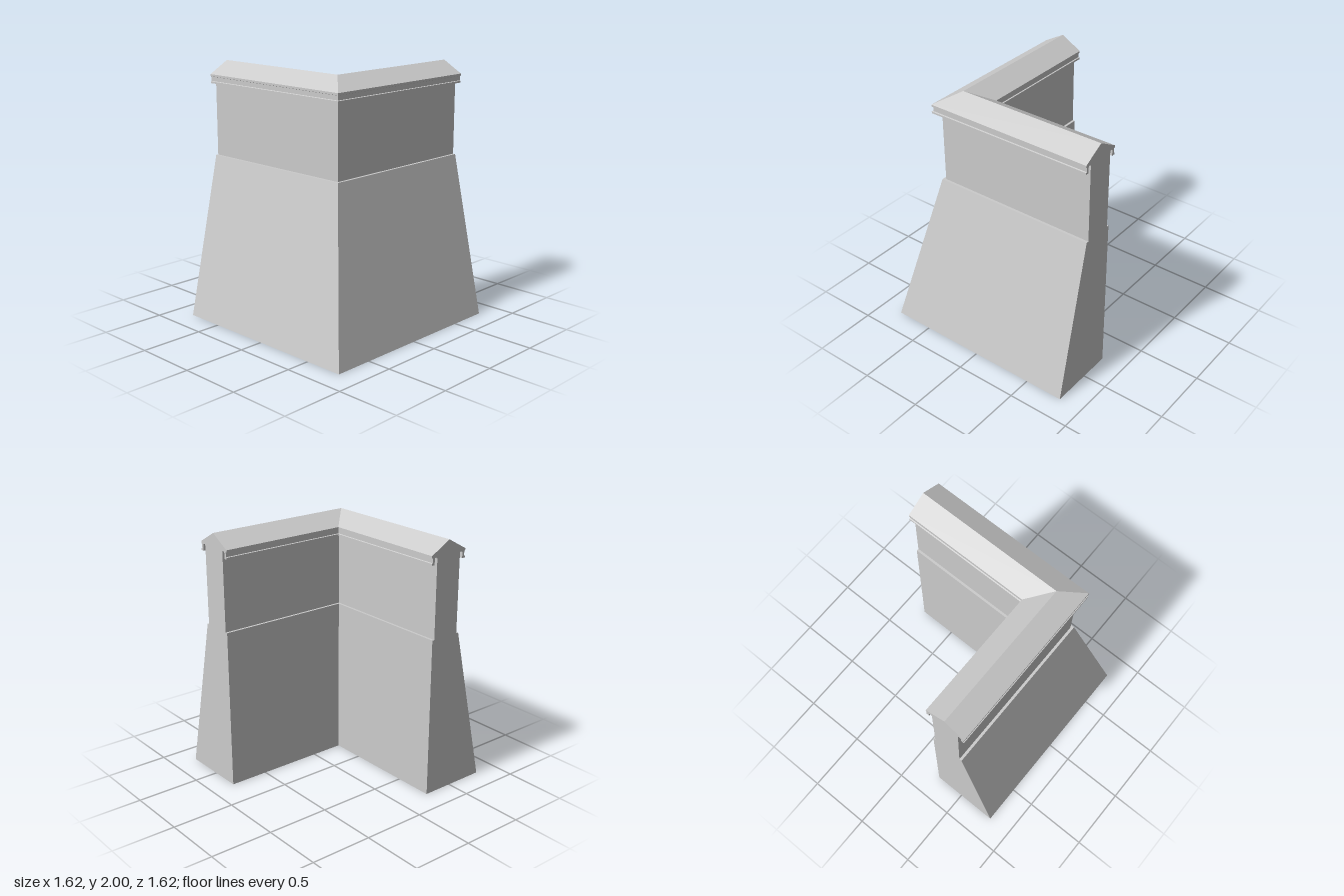
import * as THREE from 'three';

const END = 0.81;   // where both arms are cut off
const MID = 0.39;   // ridge line of the wall

// Sweeps a section (distance from the axes, height) along both arms with a mitred corner.
function sweepCorner(name, points) {
  const shape = new THREE.Shape(points.map(([d, y]) => new THREE.Vector2(d, y)));
  const geometry = new THREE.ExtrudeGeometry(shape, { depth: 2, steps: 2, bevelEnabled: false });
  const p = geometry.attributes.position;
  for (let i = 0; i < p.count; i++) {
    const d = p.getX(i), station = Math.round(p.getZ(i)); // 0 front arm end, 1 corner, 2 side arm end
    p.setXYZ(i, station === 0 ? END : -d, p.getY(i), station === 2 ? -END : d);
  }
  geometry.computeVertexNormals();
  const material = new THREE.MeshStandardMaterial({ color: 0xcccccc, flatShading: true });
  const mesh = new THREE.Mesh(geometry, material);
  mesh.name = name;
  return mesh;
}

export function createModel() {
  const group = new THREE.Group();
  group.name = 'cornerWall';

  // Sloping base
  group.add(sweepCorner('batteredBase', [[0.258, 0], [0.81, 0], [0.523, 1.265], [0.258, 1.265]]));

  // Upright wall
  group.add(sweepCorner('upperWall', [[0.277, 1.265], [0.503, 1.265], [0.503, 1.89], [0.277, 1.89]]));

  // Pitched coping with a moulded lip and drip groove on each side (offsets from the ridge)
  const half = [
    [0.113, 1.88], [0.118, 1.89], [0.133, 1.89], [0.138, 1.88],
    [0.138, 1.836], [0.166, 1.836], [0.166, 1.85], [0.157, 1.853],
    [0.157, 1.887], [0.166, 1.89], [0.166, 1.906],
  ];
  const outer = half.map(([o, y]) => [MID + o, y]);
  const inner = half.map(([o, y]) => [MID - o, y]).reverse();
  group.add(sweepCorner('coping', [...outer, [MID, 2], ...inner]));

  return group;
}
